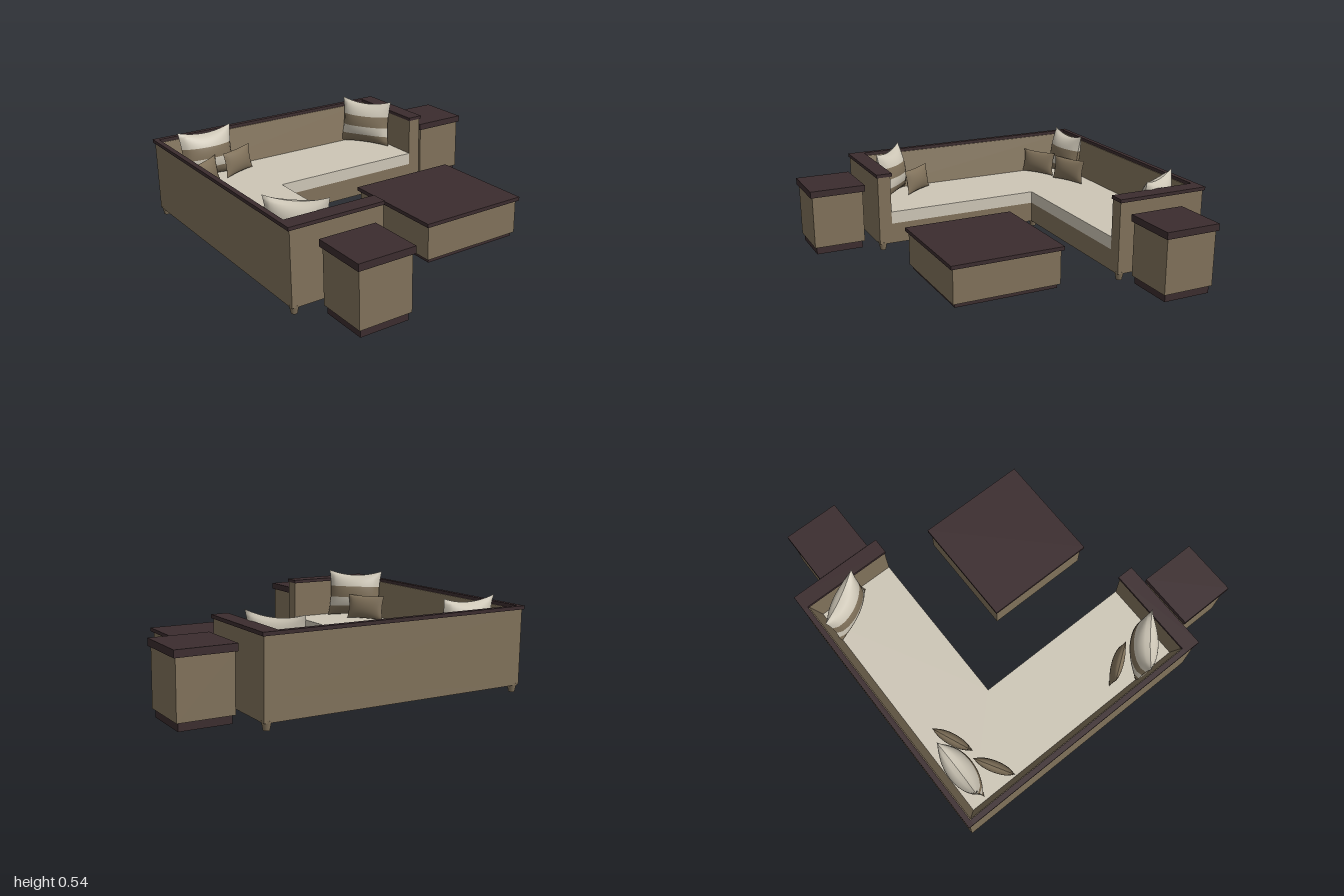
import * as THREE from 'three';

const tan = new THREE.MeshStandardMaterial({ color: 0x80715a });
tan.name = 'tan upholstery';
const dark = new THREE.MeshStandardMaterial({ color: 0x3b2c2e });
dark.name = 'dark wood';
const cream = new THREE.MeshStandardMaterial({ color: 0xcdc6b6 });
cream.name = 'cream fabric';

function add(parent, name, geometry, material) {
  const mesh = new THREE.Mesh(geometry, material);
  mesh.name = name;
  parent.add(mesh);
  return mesh;
}

// Box given by its limits on each axis
function box(parent, name, material, x0, x1, y0, y1, z0, z1) {
  const mesh = add(parent, name, new THREE.BoxGeometry(x1 - x0, y1 - y0, z1 - z0), material);
  mesh.position.set((x0 + x1) / 2, (y0 + y1) / 2, (z0 + z1) / 2);
  return mesh;
}

// L-shaped slab: outer corner at (a, a), arms reaching to b, front edges at c
function slabL(parent, name, material, a, b, c, y0, y1) {
  const points = [[a, a], [b, a], [b, c], [c, c], [c, b], [a, b]];
  const shape = new THREE.Shape(points.map(([x, z]) => new THREE.Vector2(x, -z)));
  const geometry = new THREE.ExtrudeGeometry(shape, { depth: y1 - y0, bevelEnabled: false });
  geometry.rotateX(-Math.PI / 2);
  add(parent, name, geometry, material).position.y = y0;
}

// Square table with a plinth, a body and an overhanging top
function table(name, x, z, half, plinthTop, bodyTop, top, inset) {
  const group = new THREE.Group();
  group.name = name;
  const layer = (part, material, h, y0, y1) => box(group, part, material, -h, h, y0, y1, -h, h);
  layer('plinth', dark, half - inset * 2, 0, plinthTop);
  layer('tableBody', tan, half - inset, plinthTop, bodyTop);
  layer('tableTop', dark, half, bodyTop, top);
  group.position.set(x, 0, z);
  return group;
}

// Stuffed pillow with pinched edges; both halves share one bulged sheet
function pillow(name, { x, y, z, w, h, t, turn, lean, striped }) {
  const cols = 16, rows = 20;
  const geometry = new THREE.PlaneGeometry(2, 2, cols, rows);
  const p = geometry.attributes.position;
  for (let i = 0; i < p.count; i++) {
    const u = p.getX(i), v = p.getY(i);
    const a = 1 - u * u, b = 1 - v * v;
    const pinch = striped && v > 0 ? 0.2 * v : 0.07;
    p.setXYZ(i,
      (w / 2) * u * (1 - 0.08 * b),
      (h / 2) * v * (1 - pinch * a),
      (t / 2) * Math.pow(Math.max(a * b, 0), 0.6));
  }
  geometry.computeVertexNormals();
  // Stripe rows counted from the top edge
  const bands = striped ? [[0, 7, 0], [7, 12, 1], [12, 16, 0], [16, 20, 1]] : [[0, 20, 1]];
  for (const [from, to, m] of bands) geometry.addGroup(from * cols * 6, (to - from) * cols * 6, m);
  const group = new THREE.Group();
  group.name = name;
  add(group, 'pillowFront', geometry, [cream, tan]);
  add(group, 'pillowBack', geometry, [cream, tan]).rotation.y = Math.PI;
  group.rotation.order = 'YXZ';
  group.rotation.set(lean, turn, 0);
  group.position.set(x, y, z);
  return group;
}

function sofa() {
  const group = new THREE.Group();
  group.name = 'cornerSofa';
  slabL(group, 'sofaBase', tan, -0.99, 0.53, -0.435, 0.04, 0.165);
  slabL(group, 'seatCushion', cream, -0.95, 0.53, -0.435, 0.165, 0.24);

  // Backrests with a sloping inner face
  const profile = new THREE.Shape([[-0.99, 0.165], [-0.9, 0.165], [-0.915, 0.24], [-0.965, 0.465], [-0.99, 0.465]]
    .map(([x, y]) => new THREE.Vector2(x, y)));
  const back = new THREE.ExtrudeGeometry(profile, { depth: 1.52, bevelEnabled: false });
  add(group, 'sideBackrest', back, tan).position.z = -0.99;
  const rear = add(group, 'rearBackrest', back, tan);
  rear.rotation.y = -Math.PI / 2;
  rear.position.x = 0.53;

  // Arms
  box(group, 'leftArm', tan, 0.53, 0.61, 0.04, 0.465, -0.99, -0.435);
  box(group, 'frontArm', tan, -0.99, -0.435, 0.04, 0.465, 0.53, 0.61);

  // Wooden rail along the backs and arms
  box(group, 'rearRail', dark, -1, 0.525, 0.465, 0.485, -1, -0.97);
  box(group, 'sideRail', dark, -1, -0.97, 0.465, 0.485, -0.97, 0.52);
  box(group, 'leftArmRail', dark, 0.525, 0.62, 0.465, 0.485, -1, -0.43);
  box(group, 'frontArmRail', dark, -1, -0.43, 0.465, 0.485, 0.52, 0.617);

  // Tapered feet
  const foot = new THREE.CylinderGeometry(0.027, 0.017, 0.05, 16);
  for (const [x, z] of [[-0.965, -0.965], [0.585, -0.965], [0.585, -0.46],
    [-0.46, -0.46], [-0.965, 0.585], [-0.46, 0.585]]) {
    add(group, 'foot', foot, tan).position.set(x, 0.025, z);
  }
  return group;
}

export function createModel() {
  const model = new THREE.Group();
  model.name = 'loungeSet';
  model.add(
    sofa(),
    table('leftSideTable', 0.823, -0.647, 0.168, 0.045, 0.365, 0.405, 0.012),
    table('frontSideTable', -0.69, 0.832, 0.168, 0.045, 0.365, 0.405, 0.012),
    table('coffeeTable', 0.235, 0.227, 0.338, 0.025, 0.228, 0.25, 0.015));

  const large = { y: 0.39, w: 0.35, h: 0.3, t: 0.15, lean: -0.15, striped: true };
  const small = { y: 0.32, w: 0.245, h: 0.155, t: 0.065, lean: -0.15, striped: false };
  model.add(
    pillow('cornerPillow', { ...large, x: -0.72, z: -0.845, turn: 0 }),
    pillow('leftPillow', { ...large, x: 0.43, z: -0.79, turn: -1.03 }),
    pillow('frontPillow', { ...large, x: -0.815, z: 0.39, turn: 2.4 }),
    pillow('smallPillow', { ...small, x: -0.81, z: -0.685, turn: 0.53 }),
    pillow('smallPillow', { ...small, x: -0.55, z: -0.775, turn: 0.4 }),
    pillow('smallPillow', { ...small, x: -0.79, z: 0.225, turn: 2.19 }));
  return model;
}
